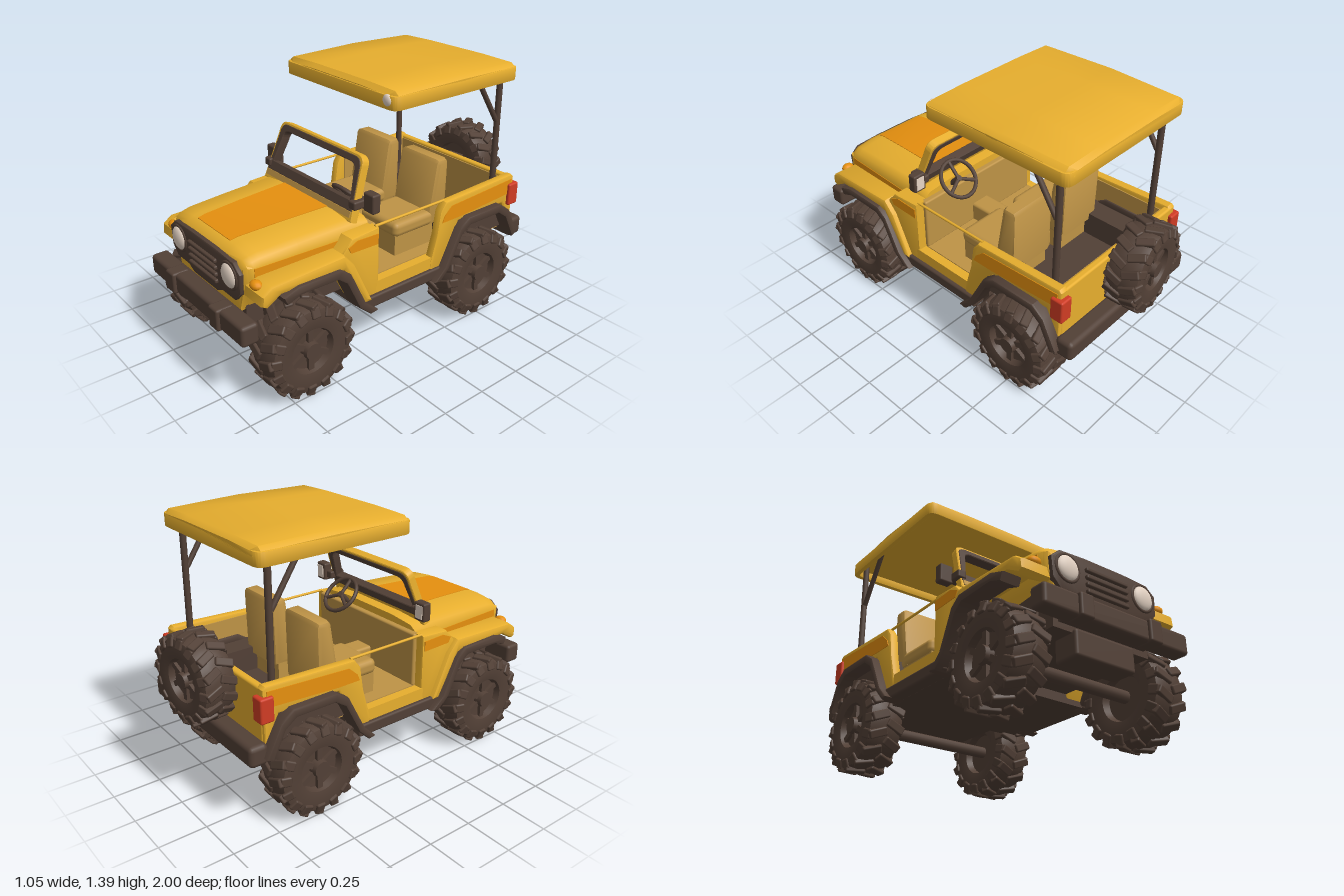
import * as THREE from 'three';
import { toCreasedNormals } from 'three/addons/utils/BufferGeometryUtils.js';
import { RoundedBoxGeometry } from 'three/addons/geometries/RoundedBoxGeometry.js';

const paint = (name, color) => Object.assign(new THREE.MeshStandardMaterial({ color }), { name });

export function createModel() {
  const yellow = paint('yellow paint', 0xe8af2e), brown = paint('dark brown', 0x524036);
  const orange = paint('orange stripe', 0xe6900f), tan = paint('tan upholstery', 0xbe9346);
  const red = paint('red lens', 0xd03c24), cream = paint('cream glass', 0xeedccc);
  const root = new THREE.Group();
  root.name = 'offRoadCar';

  const add = (name, geo, mat, parent = root) => {
    const m = new THREE.Mesh(geo, mat);
    m.name = name;
    parent.add(m);
    return m;
  };
  // Box given by its limits on each axis, rounded when r > 0
  const box = (name, mat, [x0, x1], [y0, y1], [z0, z1], r = 0, parent = root) => {
    const s = [x1 - x0, y1 - y0, z1 - z0];
    const g = r ? new RoundedBoxGeometry(...s, 2, r) : new THREE.BoxGeometry(...s);
    g.translate((x0 + x1) / 2, (y0 + y1) / 2, (z0 + z1) / 2);
    return add(name, g, mat, parent);
  };
  const shapeOf = pts => new THREE.Shape(pts.map(p => new THREE.Vector2(...p)));
  // Side outline of [z, y] points extruded from x0 to x1
  const side = (name, mat, pts, x0, x1, b = 0) => {
    const g = new THREE.ExtrudeGeometry(shapeOf(pts), { depth: x1 - x0 - 2 * b, bevelEnabled: b > 0,
      bevelSize: b, bevelThickness: b, bevelOffset: -b, bevelSegments: 2 });
    g.rotateY(-Math.PI / 2).translate(x1 - b, 0, 0);
    return add(name, toCreasedNormals(g, 0.7), mat);
  };
  const sides = (name, mat, pts, x0, x1, b) => {
    side(name + 'Left', mat, pts, x0, x1, b);
    side(name + 'Right', mat, pts, -x1, -x0, b);
  };
  const boxes = (name, mat, x, y, z, r) => {
    box(name + 'Left', mat, x, y, z, r);
    box(name + 'Right', mat, [-x[1], -x[0]], y, z, r);
  };
  const rod = (name, mat, a, b, r, parent = root) => {
    const path = new THREE.LineCurve3(new THREE.Vector3(...a), new THREE.Vector3(...b));
    const m = add(name, new THREE.CylinderGeometry(r, r, path.getLength(), 12), mat, parent);
    m.position.copy(path.getPoint(0.5));
    m.quaternion.setFromUnitVectors(new THREE.Vector3(0, 1, 0), path.getTangent(0));
    return m;
  };
  // Solid through closed rings, counter-clockwise from the front, ordered back to front
  const loft = (name, mat, rings) => {
    const n = rings[0].length, idx = [], last = (rings.length - 1) * n;
    for (let r = 0; r < rings.length - 1; r++) for (let i = 0; i < n; i++) {
      const a = r * n + i, b = r * n + (i + 1) % n;
      idx.push(a, b, b + n, a, b + n, a + n);
    }
    for (let i = 1; i < n - 1; i++) idx.push(0, i + 1, i, last, last + i, last + i + 1);
    const g = new THREE.BufferGeometry();
    g.setAttribute('position', new THREE.Float32BufferAttribute(rings.flat(2), 3));
    g.setIndex(idx);
    return add(name, toCreasedNormals(g, 0.7), mat);
  };
  const mirrored = half => [...half, ...half.slice().reverse().map(([x, y]) => [-x, y])];

  // Hood and nose: stations of z, half width, top height
  const stations = [[0.2, 0.385, 0.775], [0.3, 0.375, 0.785], [0.6, 0.36, 0.775],
    [0.8, 0.35, 0.765], [0.84, 0.347, 0.757], [0.868, 0.34, 0.745], [0.885, 0.325, 0.725]];
  loft('hood', yellow, stations.map(([z, w, t]) => mirrored([[0.28, 0.46], [w - 0.02, 0.56], [w, 0.6], [w, 0.7],
    [w - 0.015, t - 0.035], [w - 0.045, t - 0.014], [0.19, t]]).map(([x, y]) => [x, y, z])));
  const striped = stations.slice(1, 5);
  loft('hoodStripe', orange, striped.map(([z, , t]) => {
    const w = 0.185 - 0.065 * (z - 0.3);
    return [[-w, t - 0.006, z], [w, t - 0.006, z], [w, t + 0.003, z], [-w, t + 0.003, z]];
  }));
  for (const s of [1, -1]) loft('hoodSideStripe', orange, striped.map(([z, w]) => {
    const xs = [s * w - 0.003, s * w + 0.003];
    return [[xs[0], 0.65, z], [xs[1], 0.65, z], [xs[1], 0.695, z], [xs[0], 0.695, z]];
  }));

  // Cowl sides, fenders, rear quarter panels and their stripes
  sides('cowlSide', yellow, [[0.19, 0.34], [0.3, 0.34], [0.42, 0.58], [0.42, 0.66], [0.36, 0.725], [0.19, 0.735]], 0.29, 0.45, 0.012);
  sides('frontFender', yellow, [[0.3, 0.36], [0.43, 0.59], [0.78, 0.6], [0.86, 0.555], [0.885, 0.57],
    [0.88, 0.62], [0.83, 0.655], [0.42, 0.668], [0.36, 0.6], [0.25, 0.36]], 0.29, 0.478, 0.02);
  sides('cowlStripe', orange, [[0.2, 0.65], [0.37, 0.655], [0.385, 0.685], [0.33, 0.71], [0.2, 0.705]], 0.447, 0.454);
  sides('rearQuarter', yellow, [[-0.78, 0.46], [-0.7, 0.6], [-0.36, 0.6], [-0.24, 0.36], [-0.16, 0.36], [-0.165, 0.42],
    [-0.205, 0.56], [-0.225, 0.69], [-0.26, 0.735], [-0.77, 0.755], [-0.785, 0.74]], 0.405, 0.455, 0.012);
  sides('rearStripe', orange, [[-0.765, 0.65], [-0.36, 0.625], [-0.235, 0.625], [-0.25, 0.66], [-0.3, 0.705], [-0.765, 0.73]], 0.453, 0.459);
  box('tailgate', yellow, [-0.44, 0.44], [0.44, 0.745], [-0.785, -0.745], 0.012);
  boxes('sill', yellow, [0.39, 0.45], [0.37, 0.44], [-0.22, 0.21]);
  boxes('step', brown, [0.39, 0.47], [0.31, 0.375], [-0.24, 0.3], 0.012);

  // Angular wheel flares, thinned towards the wheel centre
  const flare = (name, zc, outer) => sides(name, brown, [...outer,
    ...outer.slice().reverse().map(([z, y]) => [z + (zc - z) * 0.12, y + (0.25 - y) * 0.12])], 0.39, 0.5, 0.01);
  flare('frontFlare', 0.64, [[0.23, 0.31], [0.31, 0.38], [0.4, 0.57], [0.46, 0.615], [0.7, 0.62], [0.785, 0.59]]);
  flare('rearFlare', -0.5, [[-0.16, 0.31], [-0.23, 0.38], [-0.33, 0.575], [-0.4, 0.62], [-0.65, 0.62], [-0.72, 0.57], [-0.8, 0.41]]);

  // Underbody, wheel wells, axles
  box('chassis', brown, [-0.4, 0.4], [0.31, 0.42], [-0.28, 0.3]);
  box('chassisRear', brown, [-0.3, 0.3], [0.34, 0.45], [-0.78, -0.27]);
  box('chassisFront', brown, [-0.29, 0.29], [0.36, 0.5], [0.29, 0.86]);
  boxes('frontWell', brown, [0.27, 0.32], [0.4, 0.6], [0.4, 0.77]);
  boxes('rearWell', brown, [0.27, 0.42], [0.44, 0.585], [-0.74, -0.3]);
  box('skidPlate', brown, [-0.18, 0.18], [0.25, 0.38], [0.74, 0.88], 0.015);
  for (const z of [0.64, -0.5]) rod('axle', brown, [-0.36, 0.255, z], [0.36, 0.255, z], 0.032);

  // Bumpers
  box('frontBumper', brown, [-0.44, 0.44], [0.375, 0.482], [0.885, 0.978], 0.018);
  boxes('bumperPad', brown, [0.17, 0.25], [0.372, 0.486], [0.9, 0.995], 0.012);
  box('bumperMount', brown, [-0.26, 0.26], [0.39, 0.46], [0.8, 0.92]);
  box('rearBumper', brown, [-0.47, 0.47], [0.37, 0.48], [-0.87, -0.77], 0.025);

  // Grille, lamps
  const grille = new THREE.ExtrudeGeometry(shapeOf(mirrored([[0.11, 0.505], [0.16, 0.53], [0.27, 0.53], [0.312, 0.575],
    [0.318, 0.67], [0.27, 0.71], [0.12, 0.718]])), { depth: 0.02, bevelSize: 0.008, bevelThickness: 0.008, bevelSegments: 2 });
  add('grille', toCreasedNormals(grille.translate(0, 0, 0.878), 0.7), brown);
  for (let i = 0; i < 4; i++) box('grilleSlat', brown, [-0.13, 0.13], [0.545 + i * 0.036, 0.567 + i * 0.036], [0.89, 0.922], 0.008);
  for (const s of [1, -1]) {
    const lens = add('headlight', new THREE.SphereGeometry(0.062, 20, 12), cream);
    lens.position.set(s * 0.235, 0.637, 0.905);
    lens.scale.z = 0.4;
    add('headlightRing', new THREE.TorusGeometry(0.066, 0.009, 8, 24), brown).position.set(s * 0.235, 0.637, 0.904);
    const turn = add('turnSignal', new THREE.SphereGeometry(0.03, 12, 8), orange);
    turn.position.set(s * 0.385, 0.638, 0.858);
    turn.scale.set(1.2, 0.8, 0.95);
  }
  boxes('tailLight', red, [0.402, 0.474], [0.58, 0.707], [-0.808, -0.735], 0.01);

  // Interior
  box('floor', tan, [-0.4, 0.4], [0.42, 0.445], [-0.75, 0.2]);
  box('tunnel', tan, [-0.06, 0.06], [0.44, 0.55], [-0.3, 0.2], 0.015);
  box('dashboard', tan, [-0.4, 0.4], [0.44, 0.735], [0.17, 0.21], 0.01);
  box('tailgateLining', tan, [-0.4, 0.4], [0.44, 0.73], [-0.745, -0.738]);
  boxes('tubLining', tan, [0.399, 0.406], [0.56, 0.72], [-0.74, -0.27]);
  for (const x of [0.19, -0.19]) {
    box('seatBase', tan, [x - 0.13, x + 0.13], [0.44, 0.56], [-0.36, -0.03]);
    box('seatCushion', tan, [x - 0.145, x + 0.145], [0.55, 0.632], [-0.3, -0.02], 0.03);
    side('seatBack', tan, [[-0.25, 0.55], [-0.305, 0.895], [-0.32, 0.912], [-0.38, 0.91], [-0.392, 0.89], [-0.385, 0.55]], x - 0.143, x + 0.143, 0.025);
  }
  for (const x of [0.425, -0.425]) rod('doorBar', yellow, [x, 0.735, 0.2], [x, 0.735, -0.27], 0.007);

  // Steering wheel, tilted
  const steering = new THREE.Group();
  steering.name = 'steeringWheel';
  add('steeringRim', new THREE.TorusGeometry(0.105, 0.011, 8, 28).rotateX(Math.PI / 2), brown, steering);
  rod('steeringColumn', brown, [0, 0.01, 0], [0, -0.13, 0], 0.016, steering);
  for (let i = 0; i < 3; i++) {
    const a = Math.PI / 2 + i * Math.PI * 2 / 3;
    rod('steeringSpoke', brown, [0, 0, 0], [0.1 * Math.cos(a), 0, 0.1 * Math.sin(a)], 0.01, steering);
  }
  steering.position.set(0.18, 0.79, 0.15);
  steering.rotation.x = -Math.PI / 4;
  root.add(steering);

  // Windshield: dark frame inside a yellow rim above a tan cowl strip, leaning back
  const windshield = new THREE.Group();
  windshield.name = 'windshield';
  const outline = (S, d, low) => {
    const b = 0.372 - d, t = 0.345 - d, h = 0.3 - d, r = 0.05;
    const s = new S();
    s.moveTo(-b, low).lineTo(b, low).lineTo(t, h - r).quadraticCurveTo(t, h, t - r, h);
    s.lineTo(r - t, h).quadraticCurveTo(-t, h, -t, h - r).lineTo(-b, low);
    return s;
  };
  const frame = (name, mat, d0, low0, d1, low1, depth) => {
    const s = outline(THREE.Shape, d0, low0);
    s.holes.push(outline(THREE.Path, d1, low1));
    const g = new THREE.ExtrudeGeometry(s, { depth, bevelSize: 0.004, bevelThickness: 0.004, bevelSegments: 1 });
    add(name, toCreasedNormals(g.translate(0, 0, -depth / 2), 0.6), mat, windshield);
  };
  frame('windshieldRim', yellow, 0.004, -0.02, 0.018, 0.034, 0.036);
  frame('windshieldFrame', brown, 0.016, 0.03, 0.043, 0.075, 0.042);
  box('cowlStrip', tan, [-0.355, 0.355], [-0.005, 0.027], [0.02, 0.027], 0, windshield);
  windshield.position.set(0, 0.78, 0.28);
  windshield.rotation.x = -0.35;
  root.add(windshield);
  boxes('mirror', brown, [0.375, 0.45], [0.81, 0.91], [0.185, 0.235], 0.01);
  boxes('mirrorGlass', cream, [0.39, 0.438], [0.825, 0.895], [0.181, 0.187]);
  boxes('mirrorArm', brown, [0.335, 0.385], [0.825, 0.87], [0.2, 0.295], 0.01);

  // Crowned roof canopy with a hanging lip, on posts and braces
  loft('roof', yellow, [[-0.77, 0.4, 1.358], [-0.745, 0.428, 1.378], [-0.35, 0.437, 1.387], [0.07, 0.43, 1.38], [0.095, 0.405, 1.358]]
    .map(([z, w, t]) => mirrored([[w, 1.335], [w, t - 0.02], [w - 0.025, t], [0.2, t + 0.006]])
      .map(([x, y]) => [x, y, z])).map(ring => [...ring.slice(-1), ...ring.slice(0, -1)]));
  const roundRect = (S, w, z0, z1, r) => {
    const s = new S();
    s.moveTo(-w + r, z0).lineTo(w - r, z0).quadraticCurveTo(w, z0, w, z0 + r).lineTo(w, z1 - r).quadraticCurveTo(w, z1, w - r, z1);
    s.lineTo(r - w, z1).quadraticCurveTo(-w, z1, -w, z1 - r).lineTo(-w, z0 + r).quadraticCurveTo(-w, z0, -w + r, z0);
    return s;
  };
  const lip = roundRect(THREE.Shape, 0.433, -0.765, 0.095, 0.045);
  lip.holes.push(roundRect(THREE.Path, 0.413, -0.745, 0.075, 0.03));
  const lipGeo = new THREE.ExtrudeGeometry(lip, { depth: 0.06, bevelSize: 0.005, bevelThickness: 0.005, bevelSegments: 2 });
  add('roofLip', toCreasedNormals(lipGeo.rotateX(Math.PI / 2).translate(0, 1.355, 0), 0.7), yellow).geometry.computeBoundingBox();
  const lamp = add('roofLamp', new THREE.SphereGeometry(0.03, 12, 8), cream);
  lamp.position.set(0.38, 1.335, -0.67 + 0.765);
  lamp.scale.z = 0.5;
  for (const x of [0.383, -0.383]) {
    rod('roofPost', brown, [x, 0.55, -0.69], [x, 1.34, -0.69], 0.017);
    rod('roofBrace', brown, [x, 1.07, -0.68], [x, 1.34, -0.505], 0.014);
  }

  // Wheels: lathe tyre with chevron lugs, dished rim, spokes and hub, outer face to +x
  const profile = [[0, -0.05], [0.11, -0.05], [0.12, -0.088], [0.18, -0.1], [0.222, -0.088], [0.236, -0.05],
    [0.236, 0.05], [0.222, 0.088], [0.18, 0.1], [0.12, 0.088], [0.108, 0.055], [0, 0.05]];
  const tyreGeo = toCreasedNormals(new THREE.LatheGeometry(profile.map(p => new THREE.Vector2(...p)), 36).rotateZ(-Math.PI / 2), 0.7);
  const wheel = (name, pos, turn, size = 1) => {
    const g = new THREE.Group();
    g.name = name;
    add('tyre', tyreGeo, brown, g);
    for (let i = 0; i < 16; i++) for (const s of [1, -1]) {
      const a = (i + (s > 0 ? 0 : 0.5)) * Math.PI / 8;
      const lug = new RoundedBoxGeometry(0.1, 0.03, 0.045, 1, 0.008).rotateY(s * 0.4).translate(s * 0.045, 0.234, 0);
      const shoulder = new RoundedBoxGeometry(0.02, 0.055, 0.05, 1, 0.008).rotateZ(s * 0.35).translate(s * 0.092, 0.208, -0.016);
      add('treadLug', lug.rotateX(a), brown, g);
      add('shoulderLug', shoulder.rotateX(a), brown, g);
    }
    for (let i = 0; i < 6; i++) add('rimSpoke', new THREE.BoxGeometry(0.03, 0.08, 0.03)
      .translate(0.057, 0.075, 0).rotateX(i * Math.PI / 3), brown, g);
    add('hub', new THREE.CylinderGeometry(0.042, 0.052, 0.06, 16).rotateZ(-Math.PI / 2).translate(0.064, 0, 0), brown, g);
    g.position.set(...pos);
    g.rotation.y = turn;
    g.scale.setScalar(size);
    root.add(g);
  };
  for (const z of [0.64, -0.5]) {
    wheel('wheelLeft', [0.415, 0.25, z], 0);
    wheel('wheelRight', [-0.415, 0.25, z], Math.PI);
  }
  wheel('spareWheel', [-0.03, 0.68, -0.885], Math.PI / 2 + 0.1, 0.91);
  box('spareMount', brown, [-0.08, 0.02], [0.6, 0.72], [-0.86, -0.77]);
  return root;
}
